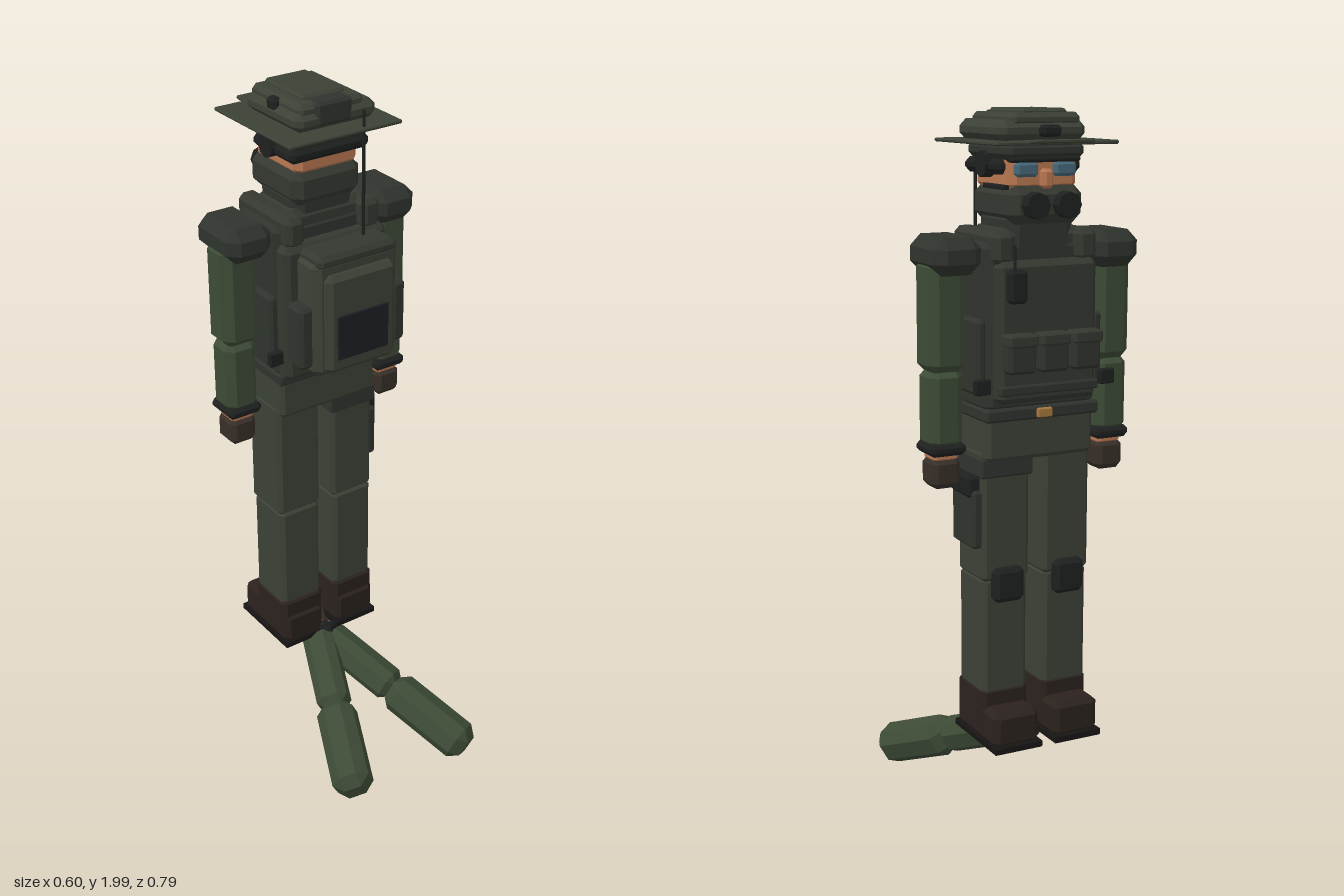
import * as THREE from 'three';
import { ConvexGeometry } from 'three/addons/geometries/ConvexGeometry.js';

const mat = (color) => new THREE.MeshStandardMaterial({ color, flatShading: true });
const M = {
  cloth: mat(0x3c4136), dark: mat(0x2f332d), vest: mat(0x343830), sleeve: mat(0x3d4b36),
  black: mat(0x1e2020), panel: mat(0x1d1f24), boot: mat(0x2b221e), sole: mat(0x171514),
  glove: mat(0x372f28), skin: mat(0xb87852), lens: mat(0x47697a), brass: mat(0xa8783c),
};

// Box with every edge cut at 45 degrees
function chamferBox(w, h, d, c) {
  const a = [w / 2, h / 2, d / 2], pts = [];
  for (let axis = 0; axis < 3; axis++)
    for (const x of [-1, 1]) for (const y of [-1, 1]) for (const z of [-1, 1]) {
      const s = [x, y, z];
      pts.push(new THREE.Vector3(...a.map((v, i) => s[i] * (i === axis ? v : v - c))));
    }
  return new ConvexGeometry(pts);
}

function add(parent, name, geo, material, x = 0, y = 0, z = 0) {
  const m = new THREE.Mesh(geo, material);
  m.name = name;
  m.position.set(x, y, z);
  parent.add(m);
  return m;
}

// Box given by its limits on each axis
function block(parent, name, material, [x0, x1], [y0, y1], [z0, z1], c = 0.008) {
  const w = x1 - x0, h = y1 - y0, d = z1 - z0;
  const geo = chamferBox(w, h, d, Math.min(c, Math.min(w, h, d) * 0.35));
  return add(parent, name, geo, material, (x0 + x1) / 2, (y0 + y1) / 2, (z0 + z1) / 2);
}

function group(parent, name) {
  const g = new THREE.Group();
  g.name = name;
  parent.add(g);
  return g;
}

function buildHead(root) {
  const g = group(root, 'head');
  block(g, 'neck', M.dark, [-0.1, 0.1], [1.62, 1.75], [-0.28, -0.09], 0.03);
  block(g, 'faceMask', M.vest, [-0.11, 0.105], [1.71, 1.81], [-0.305, -0.07], 0.025);
  block(g, 'face', M.skin, [-0.1, 0.1], [1.79, 1.9], [-0.285, -0.08], 0.02);
  block(g, 'nose', M.skin, [-0.015, 0.015], [1.8, 1.85], [-0.31, -0.27]);
  for (const s of [-1, 1]) {
    block(g, 'lens', M.lens, [s * 0.055 - 0.032, s * 0.055 + 0.032], [1.83, 1.868], [-0.3, -0.27]);
    const filter = add(g, 'maskFilter', new THREE.CylinderGeometry(0.034, 0.034, 0.05, 8), M.black, s * 0.045, 1.76, -0.315);
    filter.rotation.x = Math.PI / 2;
    const cup = add(g, 'earCup', new THREE.CylinderGeometry(0.034, 0.034, 0.04, 8), M.black, s * 0.112, 1.86, -0.18);
    cup.rotation.z = Math.PI / 2;
  }
  block(g, 'gogglesBridge', M.black, [-0.1, 0.1], [1.866, 1.88], [-0.298, -0.26]);
  block(g, 'headBand', M.black, [-0.125, 0.125], [1.835, 1.875], [-0.26, -0.065], 0.015);
  block(g, 'microphoneArm', M.black, [0.11, 0.125], [1.8, 1.812], [-0.3, -0.18], 0.002);

  const hat = group(root, 'hat');
  block(hat, 'hatLower', M.dark, [-0.115, 0.115], [1.87, 1.92], [-0.3, -0.06], 0.02);
  block(hat, 'brim', M.cloth, [-0.175, 0.175], [1.911, 1.921], [-0.36, 0.005], 0.003);
  const peak = block(hat, 'brimFront', M.cloth, [-0.086, 0.086], [1.914, 1.924], [-0.392, -0.3], 0.003);
  peak.rotation.x = 0.06;
  block(hat, 'crown', M.cloth, [-0.115, 0.137], [1.918, 1.972], [-0.305, -0.05], 0.025);
  block(hat, 'crownTop', M.cloth, [-0.1, 0.1], [1.955, 1.99], [-0.298, -0.06], 0.015);
  block(hat, 'crownCap', M.cloth, [-0.065, 0.068], [1.98, 2], [-0.285, -0.1], 0.007);
  block(hat, 'rearFlap', M.dark, [-0.055, 0.055], [1.93, 1.993], [-0.125, -0.048]);
  block(hat, 'frontMount', M.black, [-0.028, 0.028], [1.93, 1.96], [-0.328, -0.295]);
  block(hat, 'sideClip', M.black, [-0.115, -0.082], [1.95, 1.985], [-0.2, -0.157]);
}

function buildTorso(root) {
  const g = group(root, 'torso');
  block(g, 'chest', M.dark, [-0.165, 0.165], [1.22, 1.67], [-0.28, -0.08], 0.02);
  block(g, 'frontPlate', M.vest, [-0.145, 0.145], [1.25, 1.62], [-0.315, -0.26], 0.015);
  block(g, 'backPlate', M.vest, [-0.165, 0.165], [1.23, 1.62], [-0.1, -0.04], 0.015);
  block(g, 'collar', M.vest, [-0.12, 0.12], [1.63, 1.7], [-0.275, -0.085], 0.02);
  block(g, 'hips', M.cloth, [-0.16, 0.16], [1.09, 1.24], [-0.275, -0.085], 0.012);
  block(g, 'belt', M.dark, [-0.168, 0.168], [1.2, 1.235], [-0.29, -0.075], 0.006);
  block(g, 'buckle', M.brass, [-0.022, 0.022], [1.205, 1.23], [-0.3, -0.285], 0.003);
  for (const s of [-1, 1]) {
    block(g, 'shoulderStrap', M.vest, [s * 0.12 - 0.03, s * 0.12 + 0.03], [1.61, 1.695], [-0.305, -0.05], 0.015);
    block(g, 'sidePanel', M.dark, [s * 0.172 - 0.013, s * 0.172 + 0.013], [1.27, 1.47], [-0.27, -0.09]);
    for (const z of [-0.295, -0.07])
      block(g, 'sideBuckle', M.black, [s * 0.185 - 0.022, s * 0.185 + 0.022], [1.28, 1.32], [z - 0.01, z + 0.01], 0.003);
  }
  for (const x of [-0.095, 0, 0.095]) {
    block(g, 'magazinePouch', M.dark, [x - 0.04, x + 0.04], [1.335, 1.43], [-0.355, -0.305]);
    block(g, 'pouchFlap', M.vest, [x - 0.042, x + 0.042], [1.405, 1.437], [-0.362, -0.305], 0.005);
  }
  block(g, 'lowerWebbing', M.dark, [-0.145, 0.145], [1.275, 1.3], [-0.325, -0.3], 0.004);
  block(g, 'chestRadio', M.black, [0.075, 0.125], [1.515, 1.6], [-0.342, -0.3]);
  add(g, 'chestRadioAerial', new THREE.CylinderGeometry(0.004, 0.004, 0.07, 6), M.black, 0.11, 1.63, -0.333);
}

function buildBackpack(root) {
  const g = group(root, 'backpack');
  block(g, 'pack', M.cloth, [-0.135, 0.135], [1.27, 1.61], [-0.05, 0.055], 0.02);
  block(g, 'packFront', M.cloth, [-0.11, 0.11], [1.285, 1.57], [0.03, 0.078], 0.015);
  block(g, 'packLid', M.vest, [-0.125, 0.125], [1.585, 1.622], [-0.045, 0.06], 0.012);
  block(g, 'packPanel', M.panel, [-0.083, 0.083], [1.325, 1.455], [0.07, 0.081], 0.003);
  for (const s of [-1, 1])
    block(g, 'packSidePocket', M.dark, [s * 0.15 - 0.022, s * 0.15 + 0.022], [1.3, 1.48], [-0.035, 0.037], 0.01);
  add(g, 'aerial', new THREE.CylinderGeometry(0.004, 0.005, 0.36, 6), M.black, 0.063, 1.785, -0.012);
}

function buildArm(root, s) {
  const g = group(root, 'arm'), span = (a, b) => (s > 0 ? [a, b] : [-b, -a]);
  block(g, 'shoulderPad', M.dark, span(0.165, 0.302), [1.585, 1.683], [-0.28, -0.083], 0.03);
  block(g, 'upperArm', M.sleeve, span(0.192, 0.302), [1.325, 1.63], [-0.235, -0.125], 0.026);
  block(g, 'forearm', M.sleeve, span(0.2, 0.297), [1.125, 1.34], [-0.23, -0.13], 0.022);
  block(g, 'cuff', M.black, span(0.196, 0.3), [1.11, 1.143], [-0.235, -0.125], 0.012);
  block(g, 'wrist', M.skin, span(0.211, 0.285), [1.09, 1.12], [-0.215, -0.142], 0.012);
  block(g, 'glove', M.glove, span(0.208, 0.29), [1.02, 1.102], [-0.222, -0.137], 0.015);
}

function buildLeg(root, s) {
  const g = group(root, 'leg'), x = s * 0.092;
  const span = (r) => [x - r, x + r];
  block(g, 'thigh', M.cloth, span(0.071), [0.755, 1.12], [-0.255, -0.102], 0.012);
  block(g, 'shin', M.cloth, span(0.067), [0.43, 0.765], [-0.25, -0.1], 0.012);
  block(g, 'kneePad', M.black, span(0.045), [0.7, 0.795], [-0.28, -0.24], 0.012);
  block(g, 'bootShaft', M.boot, span(0.07), [0.32, 0.45], [-0.252, -0.093], 0.012);
  block(g, 'bootFoot', M.boot, span(0.068), [0.3, 0.4], [-0.325, -0.085], 0.015);
  block(g, 'bootSole', M.sole, span(0.073), [0.288, 0.308], [-0.333, -0.08], 0.003);
}

// Spare arm lying below the boots: hand, cuff, forearm and upper arm on one axis
function buildLooseArm(root, start, end) {
  const g = group(root, 'looseArm');
  const a = new THREE.Vector3(...start), b = new THREE.Vector3(...end);
  const dir = b.clone().sub(a), length = dir.length();
  g.position.copy(a);
  g.quaternion.setFromUnitVectors(new THREE.Vector3(0, 1, 0), dir.normalize());
  const seg = (name, m, r, from, to, c) => block(g, name, m, [-r, r], [from, to], [-r, r], c);
  seg('glove', M.glove, 0.035, -0.1, 0, 0.015);
  seg('wrist', M.skin, 0.034, -0.02, 0.01, 0.01);
  seg('cuff', M.black, 0.049, -0.005, 0.028, 0.018);
  seg('forearm', M.sleeve, 0.048, 0.01, length * 0.52, 0.024);
  seg('upperArm', M.sleeve, 0.056, length * 0.5, length + 0.02, 0.03);
}

export function createModel() {
  const root = new THREE.Group();
  root.name = 'soldier';
  buildHead(root);
  buildTorso(root);
  buildBackpack(root);
  for (const s of [-1, 1]) {
    buildArm(root, s);
    buildLeg(root, s);
  }
  // Thigh holster on one side only
  block(root, 'holsterTop', M.black, [0.155, 0.195], [0.99, 1.05], [-0.235, -0.125]);
  block(root, 'holster', M.dark, [0.155, 0.187], [0.85, 1.01], [-0.245, -0.115]);
  block(root, 'holsterStrap', M.dark, [0.015, 0.17], [1.045, 1.1], [-0.262, -0.097], 0.005);
  buildLooseArm(root, [-0.025, 0.272, -0.12], [-0.22, 0.088, 0.35]);
  buildLooseArm(root, [-0.008, 0.265, -0.11], [0.172, 0.063, 0.36]);
  return root;
}
